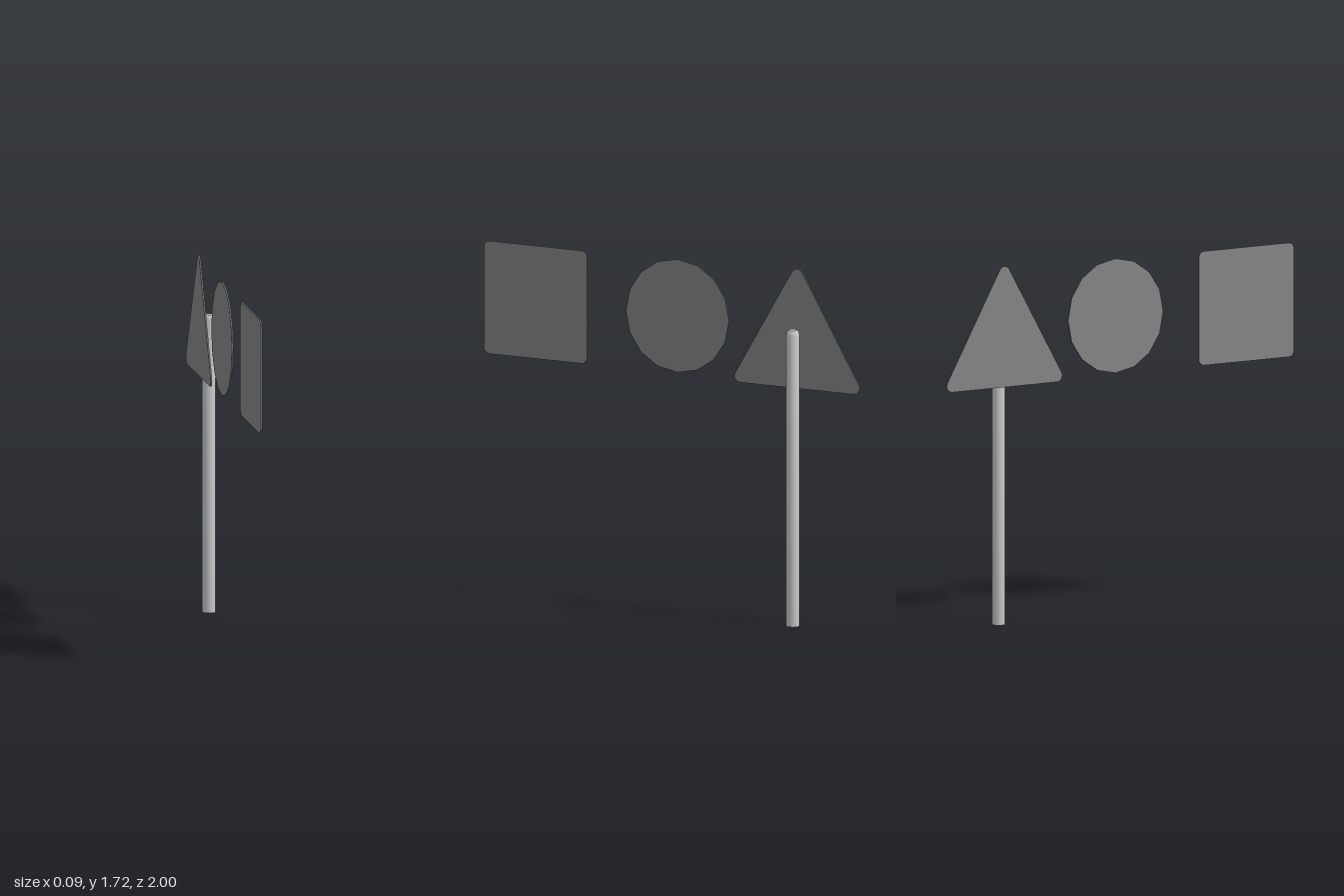
import * as THREE from 'three';
import { toCreasedNormals } from 'three/addons/utils/BufferGeometryUtils.js';

const poleMaterial = new THREE.MeshStandardMaterial({ color: 0xd6d6d6 });
const plateMaterial = new THREE.MeshStandardMaterial({ color: 0x878787 });
const PLATE_DEPTH = 0.007, CORNER = 0.03;
const POLE_X = 0.01, POLE_Z = -0.667, POLE_R = 0.032;

// Thin plate facing sideways, its +x face at x; the shape is drawn in (z, y)
function plate(name, shape, x, curveSegments) {
  const geo = new THREE.ExtrudeGeometry(shape, { depth: PLATE_DEPTH, bevelEnabled: false, curveSegments });
  geo.rotateY(-Math.PI / 2);
  geo.translate(x, 0, 0);
  const mesh = new THREE.Mesh(geo, plateMaterial);
  mesh.name = name;
  return mesh;
}

// Regular outline with rounded corners: arcs around the corner centres, counter-clockwise
function roundedShape(centres, startAngle) {
  const shape = new THREE.Shape();
  const turn = (2 * Math.PI) / centres.length;
  centres.forEach(([z, y], i) => {
    const a = startAngle + i * turn;
    shape.absarc(z, y, CORNER, a, a + turn, false);
  });
  shape.closePath();
  return shape;
}

export function createModel() {
  const group = new THREE.Group();
  group.name = 'roadSigns';

  // Pole with a rounded top
  const profile = [[0, 0], [POLE_R, 0], [POLE_R, 1.41], [0.03, 1.423], [0.023, 1.435], [0, 1.435]]
    .map(([r, y]) => new THREE.Vector2(r, y));
  const pole = new THREE.Mesh(toCreasedNormals(new THREE.LatheGeometry(profile, 16), 0.7), poleMaterial);
  pole.position.set(POLE_X, 0, POLE_Z);
  pole.name = 'pole';
  group.add(pole);

  // Triangular plate behind the pole
  group.add(plate('trianglePlate', roundedShape([
    [POLE_Z + 0.303, 1.173], [POLE_Z, 1.693], [POLE_Z - 0.303, 1.173],
  ], -Math.PI / 2), -0.034, 2));

  // Round plate with sixteen sides
  const disc = new THREE.Shape();
  disc.absarc(-0.029, 1.433, 0.274, 0, 2 * Math.PI, false);
  group.add(plate('roundPlate', disc, -0.037, 8));

  // Square plate with rounded corners
  const z0 = 0.452 + CORNER, z1 = 1 - CORNER, y0 = 1.153 + CORNER, y1 = 1.7 - CORNER;
  group.add(plate('squarePlate', roundedShape([
    [z1, y0], [z1, y1], [z0, y1], [z0, y0],
  ], -Math.PI / 2), -0.035, 2));

  return group;
}
